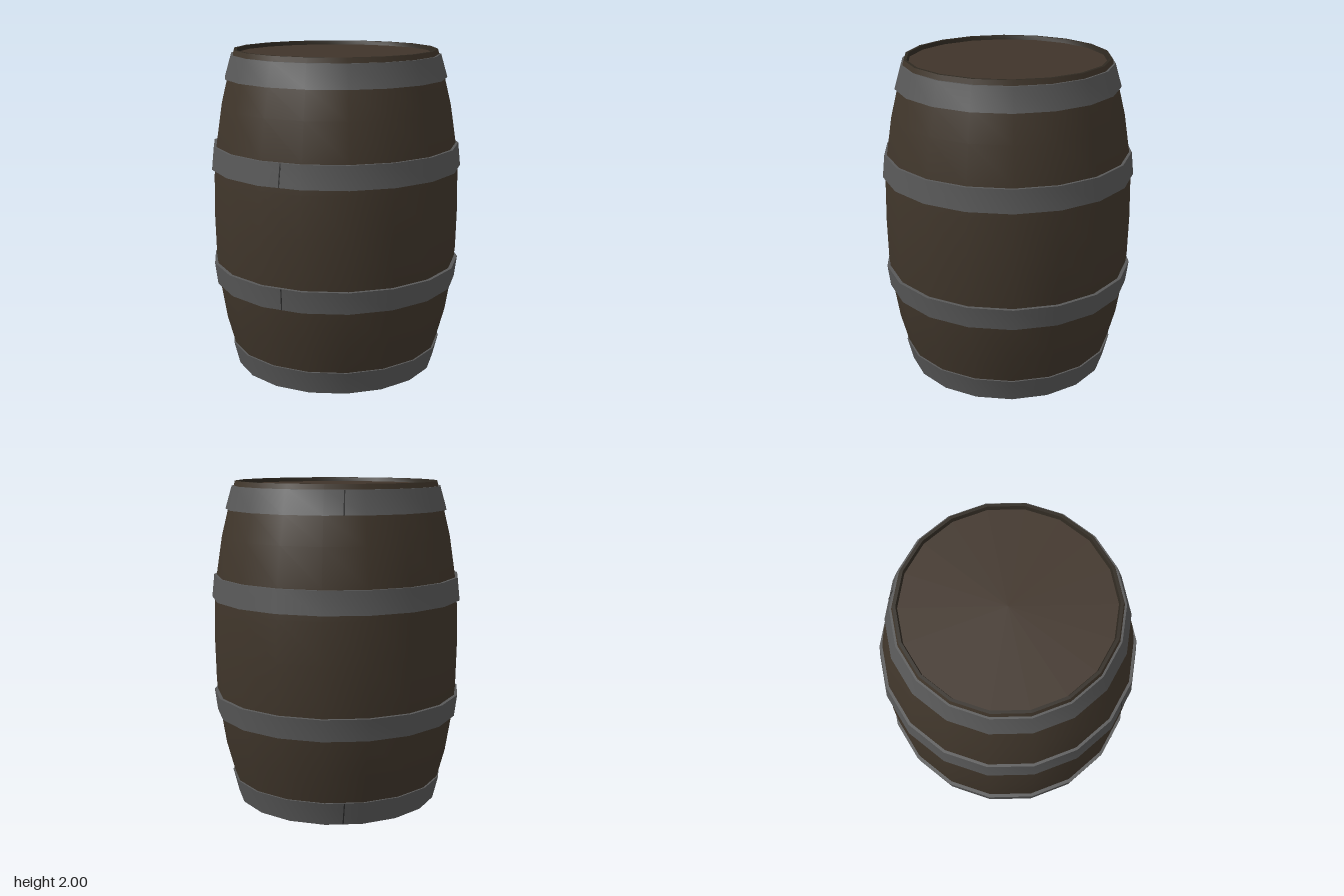
import * as THREE from 'three';
import { toCreasedNormals } from 'three/addons/utils/BufferGeometryUtils.js';

const SIDES = 18;
const START = Math.PI / 2;

// Turned 18-sided part; profile is a list of [radius, y], outside going up
function turned(name, profile, material) {
  const points = profile.map(([r, y]) => new THREE.Vector2(r, y));
  const lathe = new THREE.LatheGeometry(points, SIDES, START);
  const mesh = new THREE.Mesh(toCreasedNormals(lathe, 0.6), material);
  mesh.name = name;
  return mesh;
}

export function createModel() {
  const wood = new THREE.MeshStandardMaterial({ name: 'stave wood', color: 0x40362b });
  const lidWood = new THREE.MeshStandardMaterial({ name: 'lid wood', color: 0x40342a });
  const rimWood = new THREE.MeshStandardMaterial({ name: 'dark rim wood', color: 0x2f2921 });
  const metal = new THREE.MeshStandardMaterial({ name: 'hoop metal', color: 0x585858 });
  const seamMetal = new THREE.MeshStandardMaterial({ name: 'seam metal', color: 0x2c2c2c });

  const barrel = new THREE.Group();
  barrel.name = 'barrel';

  // Bulging staves
  barrel.add(turned('staves', [
    [0.625, 0], [0.662, 0.15], [0.71, 0.33], [0.745, 0.55], [0.765, 0.75], [0.77, 1],
    [0.765, 1.25], [0.748, 1.43], [0.712, 1.66], [0.67, 1.83], [0.625, 2],
  ], wood));

  // Rims at both ends, stepping in to the shallow recessed lids
  barrel.add(turned('topRim', [[0.625, 2], [0.607, 2], [0.6, 1.975]], rimWood));
  barrel.add(turned('bottomRim', [[0.6, 0.025], [0.607, 0], [0.625, 0]], rimWood));
  for (const [name, y] of [['topLid', 1.965], ['bottomLid', 0.035]]) {
    const lid = new THREE.Mesh(new THREE.CylinderGeometry(0.605, 0.605, 0.02, SIDES, 1, false, START), lidWood);
    lid.name = name;
    lid.position.y = y;
    barrel.add(lid);
  }

  // Hoops: [name, bottom y, bottom radius, top y, top radius, seam angle]
  const hoops = [
    ['bottomHoop', 0.005, 0.637, 0.15, 0.673, 160],
    ['lowerHoop', 0.555, 0.763, 0.69, 0.78, -40],
    ['upperHoop', 1.285, 0.78, 1.425, 0.765, -40],
    ['topHoop', 1.83, 0.686, 1.97, 0.645, 160],
  ];
  for (const [name, y0, r0, y1, r1, angle] of hoops) {
    const t = 0.03;
    const hoop = new THREE.Group();
    hoop.name = name;
    hoop.add(turned(name + 'Band', [[r0 - t, y0], [r0, y0], [r1, y1], [r1 - t, y1]], metal));

    // Thin line where the strap ends overlap, lying on a flat of the hoop
    const flat = Math.cos(Math.PI / SIDES);
    const seam = new THREE.Mesh(
      new THREE.BoxGeometry(0.007, Math.hypot(y1 - y0, r1 - r0) - 0.004, 0.004), seamMetal);
    seam.name = name + 'Seam';
    seam.rotation.set(Math.atan2((r1 - r0) * flat, y1 - y0), 0, -0.04);
    seam.position.set(0, (y0 + y1) / 2, flat * (r0 + r1) / 2);
    const pivot = new THREE.Group();
    pivot.name = name + 'SeamPivot';
    pivot.rotation.y = THREE.MathUtils.degToRad(angle);
    pivot.add(seam);
    hoop.add(pivot);
    barrel.add(hoop);
  }

  return barrel;
}
